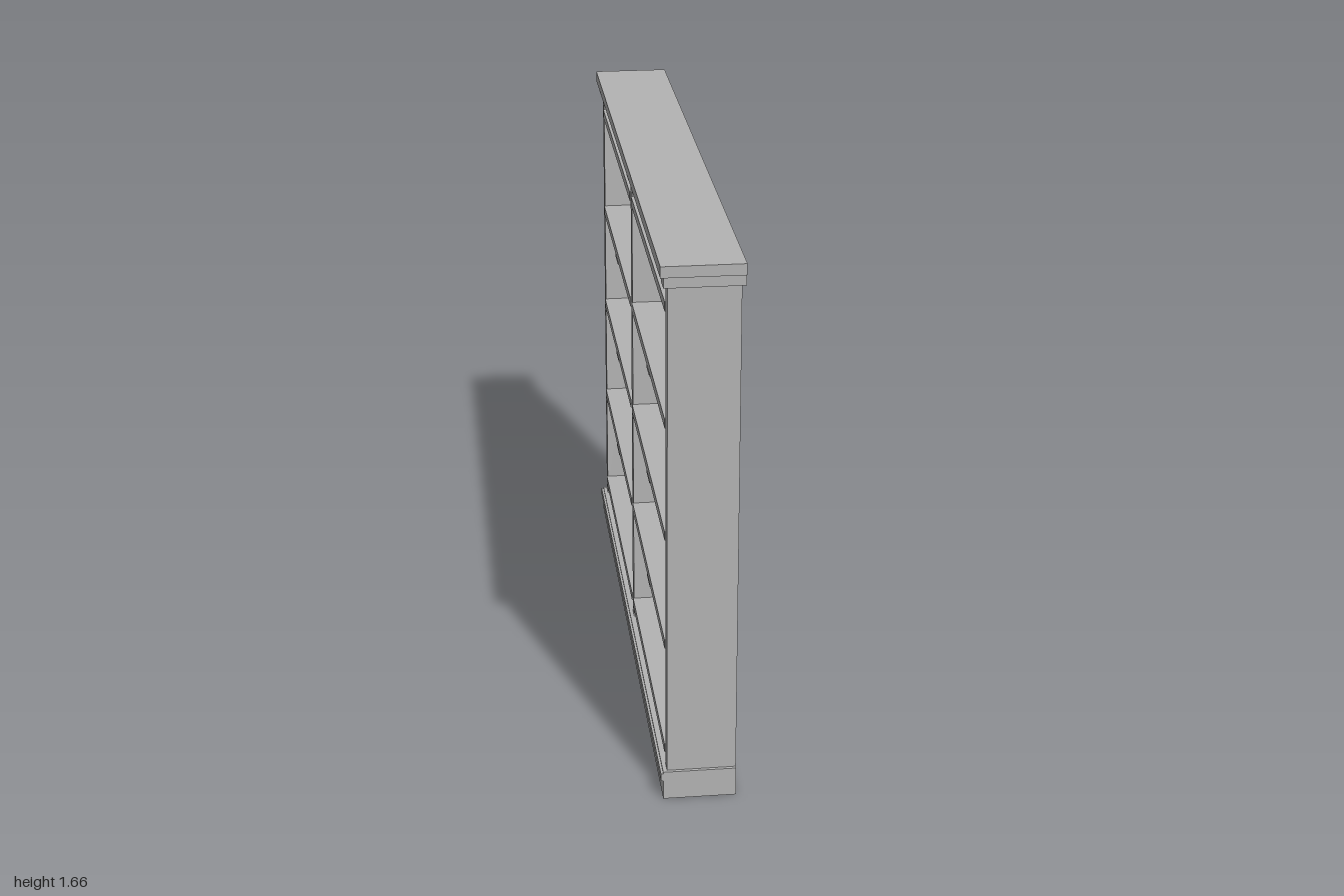
import * as THREE from 'three';

export function createModel() {
  const model = new THREE.Group();
  model.name = 'doubleBookcase';
  const grey = new THREE.MeshStandardMaterial({ color: 0xb3b3b3 });
  grey.name = 'matt grey';

  // Box given by its limits on each axis
  function box(name, x0, x1, y0, y1, z0, z1) {
    const mesh = new THREE.Mesh(new THREE.BoxGeometry(x1 - x0, y1 - y0, z1 - z0), grey);
    mesh.position.set((x0 + x1) / 2, (y0 + y1) / 2, (z0 + z1) / 2);
    mesh.name = name;
    model.add(mesh);
  }

  // Plinth with a raised moulding along the open side
  box('plinth', -0.11, 0.106, 0, 0.09, -0.995, 0.995);
  box('plinthMoulding', -0.117, -0.11, 0.06, 0.085, -0.995, 0.995);

  // Uprights, each reaching the crown
  box('divider', -0.098, 0.106, 0.09, 1.6, -0.02, 0.02);
  for (const s of [-1, 1]) {
    const span = (a, b) => (s > 0 ? [a, b] : [-b, -a]);
    box('endPanel', -0.098, 0.1, 0.09, 1.6, ...span(0.945, 0.985));
    box('backStile', 0.1, 0.106, 0.09, 1.6, ...span(0.945, 0.984));
    box('crownEndBlock', -0.11, 0.117, 1.6, 1.632, ...span(0.94, 0.993));

    // One bay: back panel, shelves and small tabs under the middle shelves
    box('backPanel', 0.08, 0.092, 0.09, 1.585, ...span(0.02, 0.945));
    for (let i = 0; i < 5; i++) {
      const y = 0.142 + i * 0.347;
      box('shelf', -0.101, 0.095, y - 0.014, y + 0.014, ...span(0.02, 0.945));
      if (i > 0 && i < 4) {
        box('shelfTab', -0.1, -0.09, y - 0.028, y - 0.014, ...span(0.45, 0.53));
      }
    }
  }

  // Crown: top slab, front rail and centre block, open underneath at the back
  box('crownSlab', -0.119, 0.117, 1.632, 1.665, -1, 1);
  box('crownRail', -0.11, -0.095, 1.605, 1.632, -0.94, 0.94);
  box('crownCentreBlock', -0.11, 0.117, 1.6, 1.632, -0.03, 0.03);

  return model;
}
